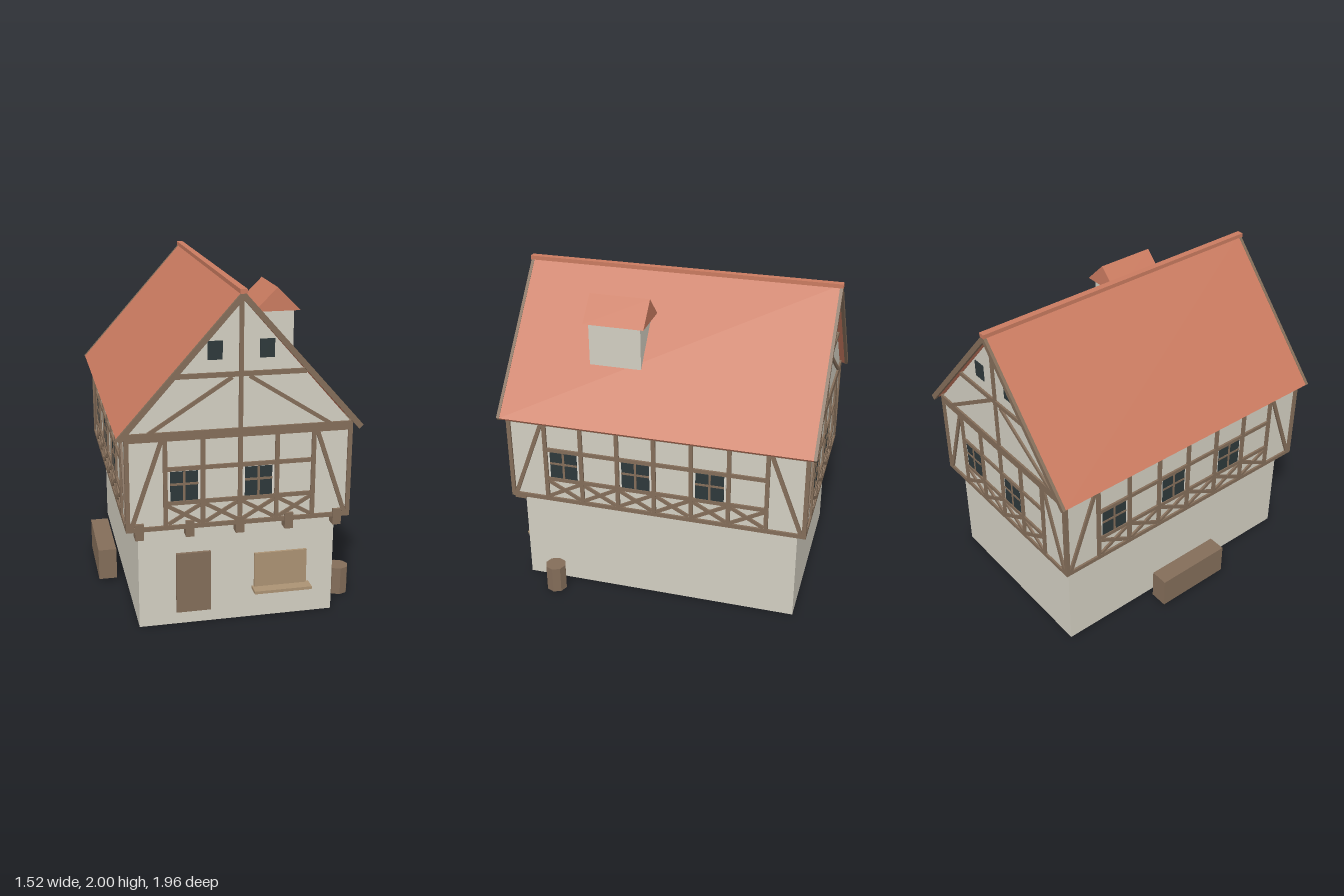
import * as THREE from 'three';

const mat = (name, color) => {
  const m = new THREE.MeshStandardMaterial({ color });
  m.name = name;
  return m;
};

export function createModel() {
  const plaster = mat('plaster', 0xd2cec1);
  const timber = mat('timber', 0x836d59);
  const tile = mat('roofTile', 0xca7b60);
  const glass = mat('darkGlass', 0x2d383a);
  const shutter = mat('tanWood', 0xab9273);
  const frameMat = mat('windowFrame', 0xdcd9cf);

  const model = new THREE.Group();
  model.name = 'timberHouse';

  const add = (parent, name, geo, material) => {
    const mesh = new THREE.Mesh(geo, material);
    mesh.name = name;
    parent.add(mesh);
    return mesh;
  };
  // Box given by its min and max on each axis
  const box = (parent, name, material, x0, x1, y0, y1, z0, z1) => {
    const mesh = add(parent, name, new THREE.BoxGeometry(x1 - x0, y1 - y0, z1 - z0), material);
    mesh.position.set((x0 + x1) / 2, (y0 + y1) / 2, (z0 + z1) / 2);
    return mesh;
  };
  // Outline in x/y extruded from z0 to z1
  const prism = (parent, name, material, points, z0, z1) => {
    const shape = new THREE.Shape(points.map(p => new THREE.Vector2(p[0], p[1])));
    const geo = new THREE.ExtrudeGeometry(shape, { depth: z1 - z0, bevelEnabled: false });
    geo.translate(0, 0, z0);
    return add(parent, name, geo, material);
  };

  const house = new THREE.Group();
  house.name = 'house';
  house.position.x = -0.004;
  model.add(house);

  // Walls: plain ground floor, jettied upper floor with gables
  box(house, 'groundFloor', plaster, -0.585, 0.585, 0, 0.64, -0.877, 0.877);
  prism(house, 'upperFloor', plaster,
    [[-0.645, 0.635], [0.645, 0.635], [0.645, 1.21], [0, 1.945], [-0.645, 1.21]], -0.925, 0.925);

  // Timber between two points on a facade whose wall plane is z = 0
  const beam = (parent, name, u0, v0, u1, v1, w) => {
    const len = Math.hypot(u1 - u0, v1 - v0);
    const mesh = add(parent, name, new THREE.BoxGeometry(len, w, 0.022), timber);
    mesh.position.set((u0 + u1) / 2, (v0 + v1) / 2, 0.001);
    mesh.rotation.z = Math.atan2(v1 - v0, u1 - u0);
  };
  const plate = (parent, name, material, u, v, w, h, out) =>
    box(parent, name, material, u - w / 2, u + w / 2, v - h / 2, v + h / 2, -0.002, out);

  // One storey of framing: half width, number of panels, panels holding windows
  const facade = (name, half, panels, windows) => {
    const g = new THREE.Group();
    g.name = name;
    const edge = half - 0.0125;
    const step = 2 * edge / panels;
    const at = i => -edge + i * step;
    for (let i = 0; i <= panels; i++) beam(g, 'post', at(i), 0.64, at(i), 1.18, 0.025);
    beam(g, 'sillBeam', -half, 0.643, half, 0.643, 0.026);
    beam(g, 'topBeam', -half, 1.187, half, 1.187, 0.052);
    for (const y of [0.994, 0.79]) beam(g, 'rail', at(1), y, at(panels - 1), y, 0.024);
    for (const s of [-1, 1]) beam(g, 'cornerBrace', s * (edge - 0.02), 0.655, s * (edge - step + 0.02), 1.165, 0.024);
    for (let i = 1; i < panels - 1; i++) {
      const a = at(i) + 0.014, b = at(i + 1) - 0.014;
      beam(g, 'crossBrace', a, 0.663, b, 0.772, 0.021);
      beam(g, 'crossBrace', a, 0.772, b, 0.663, 0.021);
    }
    for (const i of windows) {
      const u = at(i + 0.5);
      plate(g, 'windowFrame', frameMat, u, 0.888, step - 0.036, 0.196, 0.003);
      plate(g, 'windowPane', glass, u, 0.888, step - 0.056, 0.178, 0.006);
      plate(g, 'windowMullion', timber, u, 0.888, 0.014, 0.178, 0.009);
      plate(g, 'windowCrossbar', timber, u, 0.902, step - 0.056, 0.014, 0.009);
    }
    house.add(g);
    return g;
  };

  for (const s of [1, -1]) {
    // Gable ends
    const end = facade(s > 0 ? 'frontFacade' : 'backFacade', 0.658, 6, [1, 3]);
    beam(end, 'kingPost', 0, 1.2, 0, 1.95, 0.024);
    beam(end, 'collarBeam', -0.375, 1.524, 0.375, 1.524, 0.028);
    for (const k of [-1, 1]) {
      beam(end, 'gableBrace', k * 0.525, 1.205, k * 0.05, 1.508, 0.022);
      plate(end, 'gableWindow', glass, k * 0.147, 1.662, 0.084, 0.105, 0.006);
    }
    end.position.z = s * 0.925;
    end.rotation.y = s > 0 ? 0 : Math.PI;
    // Long sides
    const side = facade(s > 0 ? 'leftFacade' : 'rightFacade', 0.937, 8, [1, 3, 5]);
    side.position.x = s * 0.646;
    side.rotation.y = s * Math.PI / 2;
  }

  // Corbels under the front overhang
  for (let i = -2; i <= 2; i++) {
    const x = i * 0.291;
    box(house, 'corbel', timber, x - 0.025, x + 0.025, 0.58, 0.678, 0.87, 0.941);
  }

  // Roof, barge boards and ridge
  const chevron = (ex, ey, top, ix, iy, under) =>
    [[-ex, ey], [-ix, iy], [0, under], [ix, iy], [ex, ey], [0, top]];
  prism(house, 'roof', tile, chevron(0.703, 1.198, 1.988, 0.686, 1.181, 1.951), -0.96, 0.96);
  const board = chevron(0.706, 1.199, 1.991, 0.683, 1.175, 1.943);
  prism(house, 'frontBargeBoard', timber, board, 0.957, 0.976);
  prism(house, 'backBargeBoard', timber, board, -0.976, -0.957);
  box(house, 'ridgeCap', tile, -0.02, 0.02, 1.975, 2, -0.978, 0.978);

  // Dormer
  box(model, 'dormerWall', plaster, 0.205, 0.43, 1.46, 1.775, 0.135, 0.457);
  prism(model, 'dormerRoof', tile, [[0.178, 1.77], [0.462, 1.77], [0.32, 1.912]], 0.106, 0.481);

  // Door and shuttered shop window
  box(model, 'door', timber, -0.37, -0.166, 0.08, 0.455, 0.87, 0.896);
  box(model, 'shopShutter', shutter, 0.098, 0.416, 0.185, 0.414, 0.87, 0.892);
  box(model, 'shopSill', shutter, 0.086, 0.434, 0.182, 0.2, 0.87, 0.957);

  // Trough on the right, barrel on the left
  box(model, 'trough', timber, -0.762, -0.648, 0.02, 0.22, -0.255, 0.25);
  const barrelGeo = new THREE.CylinderGeometry(0.066, 0.066, 0.175, 8).toNonIndexed();
  barrelGeo.computeVertexNormals();
  add(model, 'barrel', barrelGeo, timber).position.set(0.695, 0.0875, 0.655);

  return model;
}
